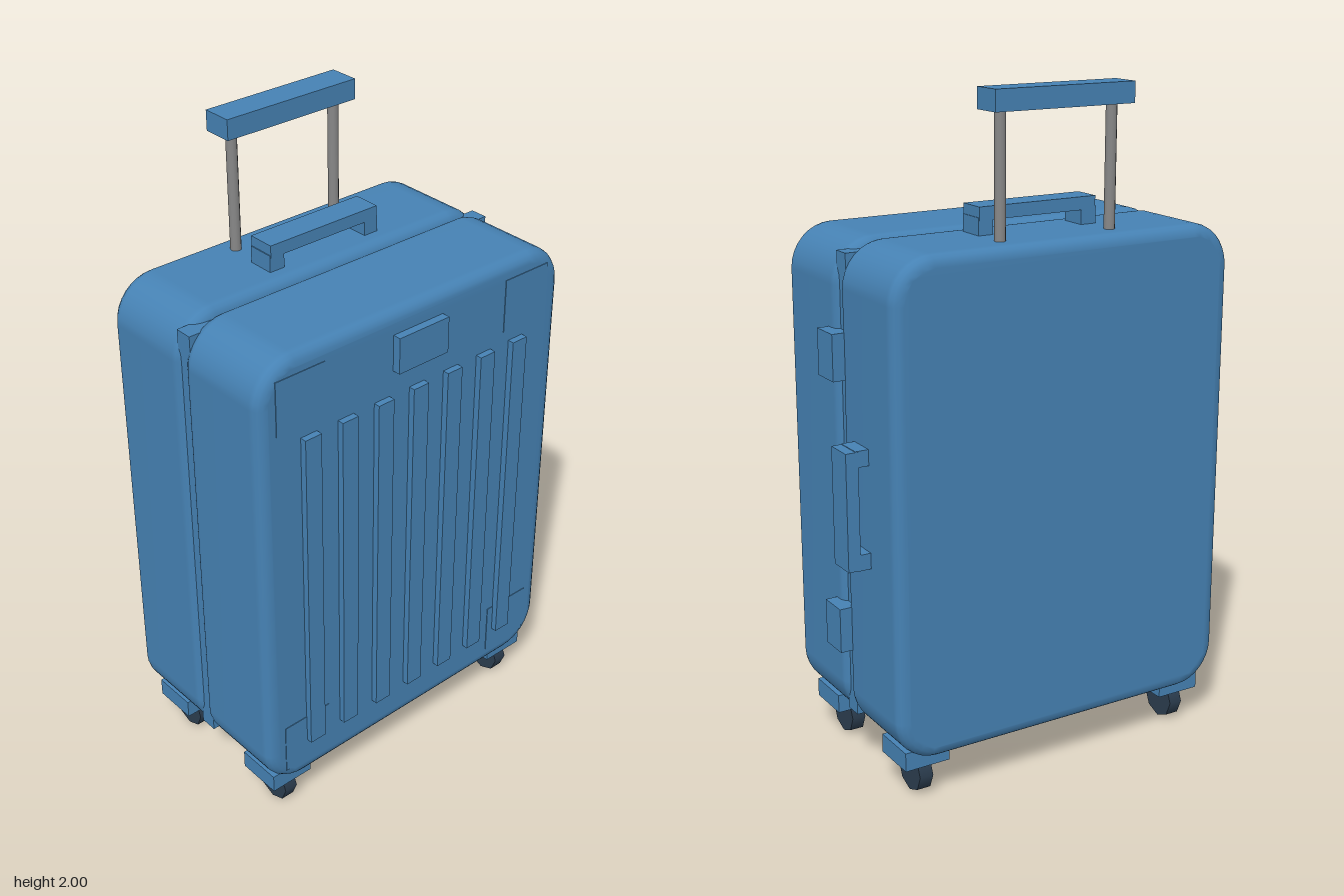
import * as THREE from 'three';
import { mergeVertices } from 'three/addons/utils/BufferGeometryUtils.js';

const mat = (name, color) => {
  const m = new THREE.MeshStandardMaterial({ color });
  m.name = name;
  return m;
};

export function createModel() {
  const model = new THREE.Group();
  model.name = 'suitcase';
  const blue = mat('steel blue shell', 0x4682b4);
  const grey = mat('grey metal', 0x888888);
  const dark = mat('dark wheel', 0x2c3e50);

  const add = (name, geometry, material) => {
    const mesh = new THREE.Mesh(geometry, material);
    mesh.name = name;
    model.add(mesh);
    return mesh;
  };
  // Box given by its limits on each axis
  const box = (name, x0, x1, y0, y1, z0, z1) => {
    const mesh = add(name, new THREE.BoxGeometry(x1 - x0, y1 - y0, z1 - z0), blue);
    mesh.position.set((x0 + x1) / 2, (y0 + y1) / 2, (z0 + z1) / 2);
    return mesh;
  };

  // Two rounded shell halves with a narrow gap between them
  const shell = (name, z0, z1) => {
    const b = 0.035, x0 = -0.59 + b, x1 = 0.52 - b, y0 = 0.14 + b, y1 = 1.59 - b, r = 0.095;
    const s = new THREE.Shape();
    s.moveTo(x0 + r, y0);
    s.lineTo(x1 - r, y0);
    s.absarc(x1 - r, y0 + r, r, -Math.PI / 2, 0);
    s.lineTo(x1, y1 - r);
    s.absarc(x1 - r, y1 - r, r, 0, Math.PI / 2);
    s.lineTo(x0 + r, y1);
    s.absarc(x0 + r, y1 - r, r, Math.PI / 2, Math.PI);
    s.lineTo(x0, y0 + r);
    s.absarc(x0 + r, y0 + r, r, Math.PI, Math.PI * 1.5);
    let g = new THREE.ExtrudeGeometry(s, {
      depth: z1 - z0 - 2 * b, curveSegments: 4,
      bevelEnabled: true, bevelThickness: b, bevelSize: b, bevelSegments: 4,
    });
    g.translate(0, 0, z0 + b);
    g.deleteAttribute('uv');
    g.deleteAttribute('normal');
    g = mergeVertices(g, 1e-4);
    g.computeVertexNormals();
    add(name, g, blue);
  };
  shell('frontShell', -0.01, 0.305);
  shell('backShell', -0.335, -0.022);
  box('seamFrame', -0.577, 0.505, 0.18, 1.558, -0.042, 0.012);

  // Front ribs, badge and corner plates
  for (let i = 0; i < 7; i++) {
    const x = -0.45 + i * 0.128;
    box('frontRib', x, x + 0.055, 0.27, 1.335, 0.295, 0.325);
  }
  box('badge', -0.127, 0.053, 1.41, 1.52, 0.295, 0.33);
  for (const x of [-0.53, 0.295])
    for (const y of [0.195, 1.37]) box('cornerPlate', x, x + 0.165, y, y + 0.165, 0.299, 0.307);

  // Telescopic handle
  for (const x of [-0.215, 0.145]) {
    const pole = add('trolleyPole', new THREE.CylinderGeometry(0.016, 0.016, 0.38, 12), grey);
    pole.position.set(x, 1.76, -0.256);
  }
  box('trolleyGrip', -0.26, 0.188, 1.94, 2, -0.303, -0.21);

  // Carry handles on the top and on the side
  box('topHandlePost', -0.233, -0.183, 1.57, 1.64, -0.163, -0.08);
  box('topHandlePost', 0.11, 0.157, 1.57, 1.64, -0.163, -0.08);
  box('topHandleBar', -0.23, 0.155, 1.632, 1.67, -0.164, -0.079);
  box('sideHandlePost', 0.5, 0.56, 0.693, 0.74, -0.183, -0.098);
  box('sideHandlePost', 0.5, 0.56, 0.995, 1.042, -0.183, -0.098);
  box('sideHandleBar', 0.552, 0.59, 0.695, 1.04, -0.184, -0.097);

  // Side latches across the seam
  box('latch', 0.49, 0.556, 1.205, 1.34, -0.05, 0.042);
  box('latch', 0.49, 0.556, 0.393, 0.528, -0.05, 0.042);

  // Casters
  for (const x of [-0.485, 0.411])
    for (const z of [0.204, -0.224]) {
      box('casterMount', x - 0.071, x + 0.071, 0.103, 0.16, z - 0.071, z + 0.071);
      const g = new THREE.CylinderGeometry(0.064, 0.064, 0.043, 8);
      g.rotateZ(Math.PI / 2);
      add('wheel', g, dark).position.set(x, 0.064, z);
    }
  return model;
}
